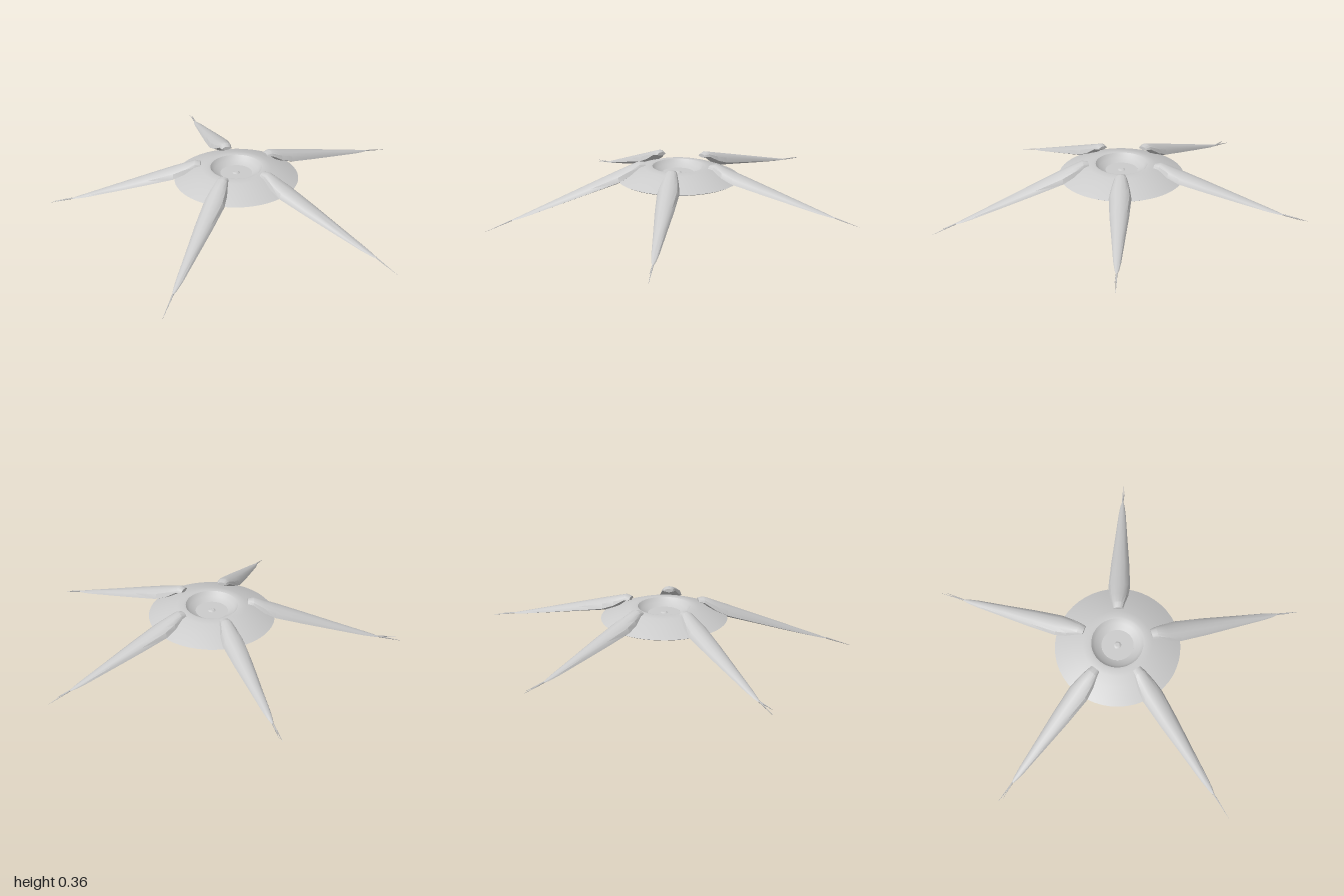
import * as THREE from 'three';
import { toCreasedNormals } from 'three/addons/utils/BufferGeometryUtils.js';

const grey = new THREE.MeshStandardMaterial({ color: 0xcccccc, side: THREE.DoubleSide });
const V = (p) => new THREE.Vector3(...p);
const UP = new THREE.Vector3(0, 1, 0);

// Half cross-section of an arm: rounded crown, steep flanks, keeled underside
const crown = [[1, -0.66], [0.82, -0.28], [0.45, -0.06]];
const section = [...crown, [0, 0], ...crown.map(([x, y]) => [-x, y]).reverse(), [0, -1]];

// Stations along an arm: fraction of length, half width, depth
const stations = [
  [-0.025, 0.026, 0.02, -0.018],
  [0.02, 0.034, 0.038, 0],
  [0.1, 0.05, 0.064, 0],
  [0.19, 0.059, 0.07, 0],
  [0.4, 0.05, 0.054, 0],
  [0.65, 0.034, 0.036, 0],
  [0.88, 0.02, 0.018, 0],
  [0.96, 0.012, 0.01, 0],
  [1, 0.005, 0.005, 0],
];

function armGeometry(start, end) {
  const axis = end.clone().sub(start);
  const side = new THREE.Vector3().crossVectors(UP, axis).normalize();
  const n = section.length;
  const pos = [];
  const index = [];
  for (const [s, w, d, drop] of stations) {
    for (const [x, y] of section) {
      const p = start.clone().addScaledVector(axis, s)
        .addScaledVector(side, x * w).addScaledVector(UP, y * d + drop);
      pos.push(p.x, p.y, p.z);
    }
  }
  for (let i = 0; i < stations.length - 1; i++) {
    for (let j = 0; j < n; j++) {
      const k = (j + 1) % n;
      const a = i * n + j, b = i * n + k;
      index.push(a, b, b + n, a, b + n, a + n);
    }
  }
  // end caps
  const last = (stations.length - 1) * n;
  for (let j = 1; j < n - 1; j++) {
    index.push(0, j + 1, j, last, last + j, last + j + 1);
  }
  const g = new THREE.BufferGeometry();
  g.setAttribute('position', new THREE.Float32BufferAttribute(pos, 3));
  g.setIndex(index);
  return toCreasedNormals(g, 0.6);
}

// Thin tapering strand between two points
function strand(from, to) {
  const dir = to.clone().sub(from);
  const g = new THREE.CylinderGeometry(0.0006, 0.0045, dir.length(), 4);
  const mesh = new THREE.Mesh(g, grey);
  mesh.position.copy(from).addScaledVector(dir, 0.5);
  mesh.quaternion.setFromUnitVectors(UP, dir.normalize());
  mesh.name = 'tipStrand';
  return mesh;
}

// Inner end, outer end and strand ends of each arm
const arms = [
  { name: 'leftArm', start: [0.1, 0.36, 0], end: [0.81, 0.083, -0.012],
    tips: [[0.94, 0.03, -0.01], [0.88, 0.056, -0.005]] },
  { name: 'frontArm', start: [-0.042, 0.36, 0.185], end: [0.178, 0.06, 0.86],
    tips: [[0.225, 0, 1], [0.21, 0.022, 0.95]] },
  { name: 'backArm', start: [-0.042, 0.36, -0.205], end: [0.168, 0.153, -0.87],
    tips: [[0.21, 0.12, -1], [0.2, 0.135, -0.94]] },
  { name: 'backRightArm', start: [-0.27, 0.36, -0.128], end: [-0.83, 0.172, -0.532],
    tips: [[-0.94, 0.155, -0.61], [-0.915, 0.158, -0.605]] },
  { name: 'frontRightArm', start: [-0.27, 0.36, 0.118], end: [-0.83, 0.112, 0.522],
    tips: [[-0.93, 0.082, 0.595], [-0.9, 0.1, 0.59]] },
];

export function createModel() {
  const model = new THREE.Group();
  const center = new THREE.Group();
  center.name = 'centralDisc';
  center.position.set(-0.103, 0, -0.007);
  model.add(center);

  // Domed disc with a recess above and below
  const profile = [
    [0.1, 0.277], [0.155, 0.25], [0.325, 0.25], [0.336, 0.256], [0.3, 0.273],
    [0.24, 0.297], [0.185, 0.315], [0.15, 0.322], [0.139, 0.32],
    [0.12, 0.297], [0.085, 0.283],
  ].map(([r, y]) => new THREE.Vector2(r, y));
  const disc = new THREE.Mesh(
    toCreasedNormals(new THREE.LatheGeometry(profile, 48), 0.6), grey);
  disc.name = 'domedDisc';
  center.add(disc);

  // Ten-sided plate closing the recess, with a shallow raised middle
  const plate = new THREE.Mesh(new THREE.CylinderGeometry(0.09, 0.104, 0.007, 10), grey);
  plate.name = 'recessPlate';
  plate.position.y = 0.28;
  center.add(plate);
  const boss = new THREE.Mesh(
    toCreasedNormals(new THREE.CylinderGeometry(0.012, 0.022, 0.006, 8), 0.5), grey);
  boss.name = 'centerBoss';
  boss.position.y = 0.286;
  center.add(boss);

  for (const { name, start, end, tips } of arms) {
    const arm = new THREE.Group();
    arm.name = name;
    const a = V(start), b = V(end);
    const body = new THREE.Mesh(armGeometry(a, b), grey);
    body.name = 'armBody';
    arm.add(body);
    const root = b.clone().addScaledVector(UP, -0.002);
    for (const tip of tips) arm.add(strand(root, V(tip)));
    model.add(arm);
  }
  return model;
}
